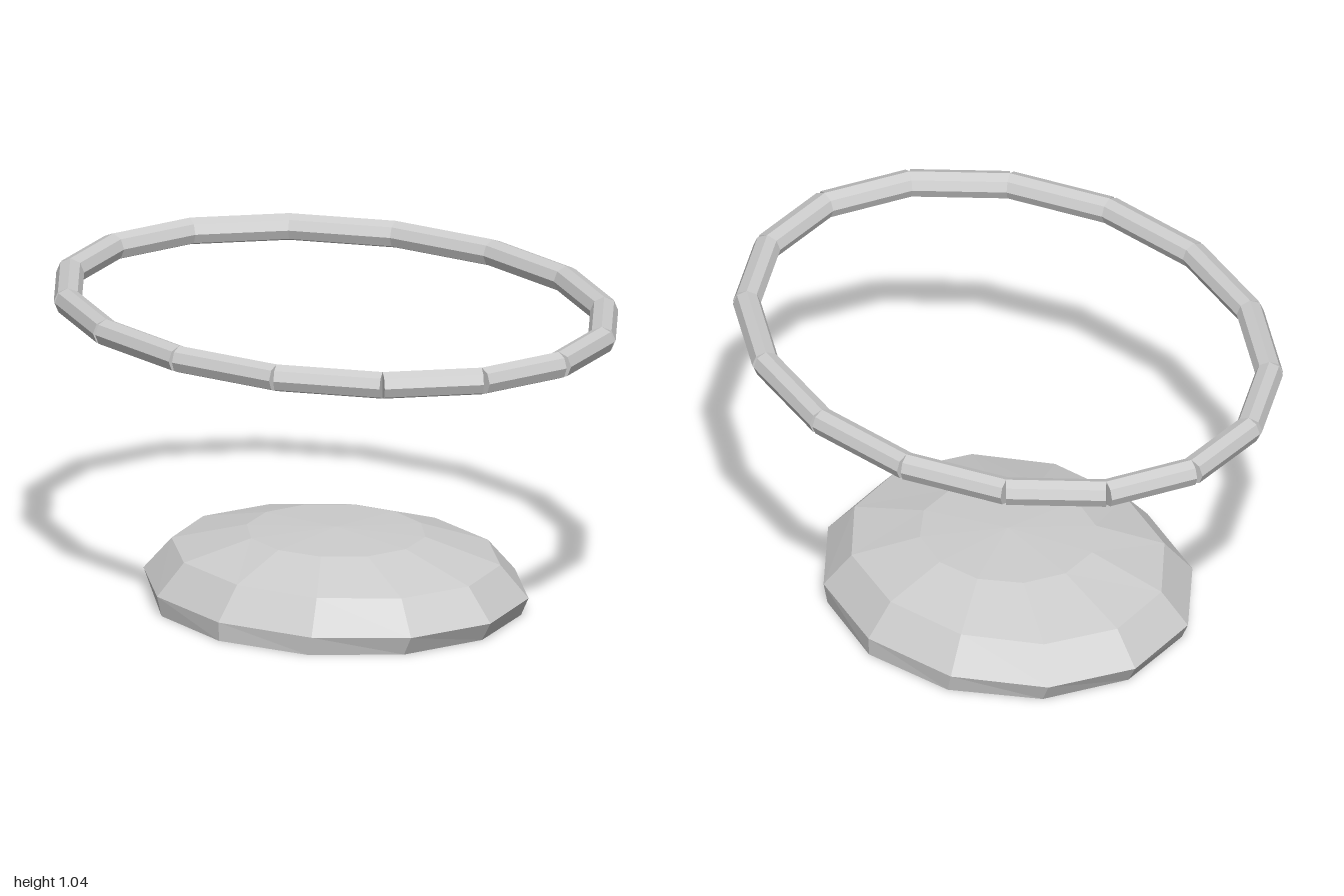
import * as THREE from 'three';

const grey = new THREE.MeshStandardMaterial({ color: 0xcccccc, flatShading: true, side: THREE.DoubleSide });
grey.name = 'paleGrey';

// Open twelve-sided shell lofted through elliptical rings: [y, x radius, z radius]
function createDome() {
  const rings = [
    [0, 0.627, 0.568],
    [0.062, 0.663, 0.57],
    [0.168, 0.57, 0.48],
    [0.238, 0.3, 0.28],
    [0.252, 0, 0],
  ];
  const sides = 12;
  const positions = [];
  const index = [];
  for (const [y, rx, rz] of rings) {
    for (let i = 0; i < sides; i++) {
      const a = (i / sides) * Math.PI * 2;
      positions.push(rx * Math.sin(a), y, rz * Math.cos(a));
    }
  }
  for (let r = 0; r < rings.length - 1; r++) {
    for (let i = 0; i < sides; i++) {
      const j = (i + 1) % sides;
      const a = r * sides + i, b = r * sides + j;
      const c = a + sides, d = b + sides;
      index.push(a, b, c);
      if (r < rings.length - 2) index.push(b, d, c);
    }
  }
  const geometry = new THREE.BufferGeometry();
  geometry.setAttribute('position', new THREE.Float32BufferAttribute(positions, 3));
  geometry.setIndex(index);
  geometry.computeVertexNormals();
  const dome = new THREE.Mesh(geometry, grey);
  dome.name = 'dome';
  return dome;
}

// Floating oval ring of straight octagonal rods, square-cut at the joints
function createRing() {
  const ring = new THREE.Group();
  ring.name = 'ring';
  const count = 16;
  const corner = (i) => {
    const a = (i / count) * Math.PI * 2;
    return new THREE.Vector3(0.956 * Math.cos(a), 0.995, 0.76 * Math.sin(a));
  };
  for (let i = 0; i < count; i++) {
    const start = corner(i), end = corner(i + 1);
    const geometry = new THREE.CylinderGeometry(0.045, 0.045, start.distanceTo(end), 8);
    geometry.rotateX(Math.PI / 2);
    const rod = new THREE.Mesh(geometry, grey);
    rod.name = 'ringSegment' + (i + 1);
    rod.position.copy(start).lerp(end, 0.5);
    rod.lookAt(end);
    ring.add(rod);
  }
  return ring;
}

export function createModel() {
  const model = new THREE.Group();
  model.name = 'domeWithRing';
  model.add(createDome(), createRing());
  return model;
}
